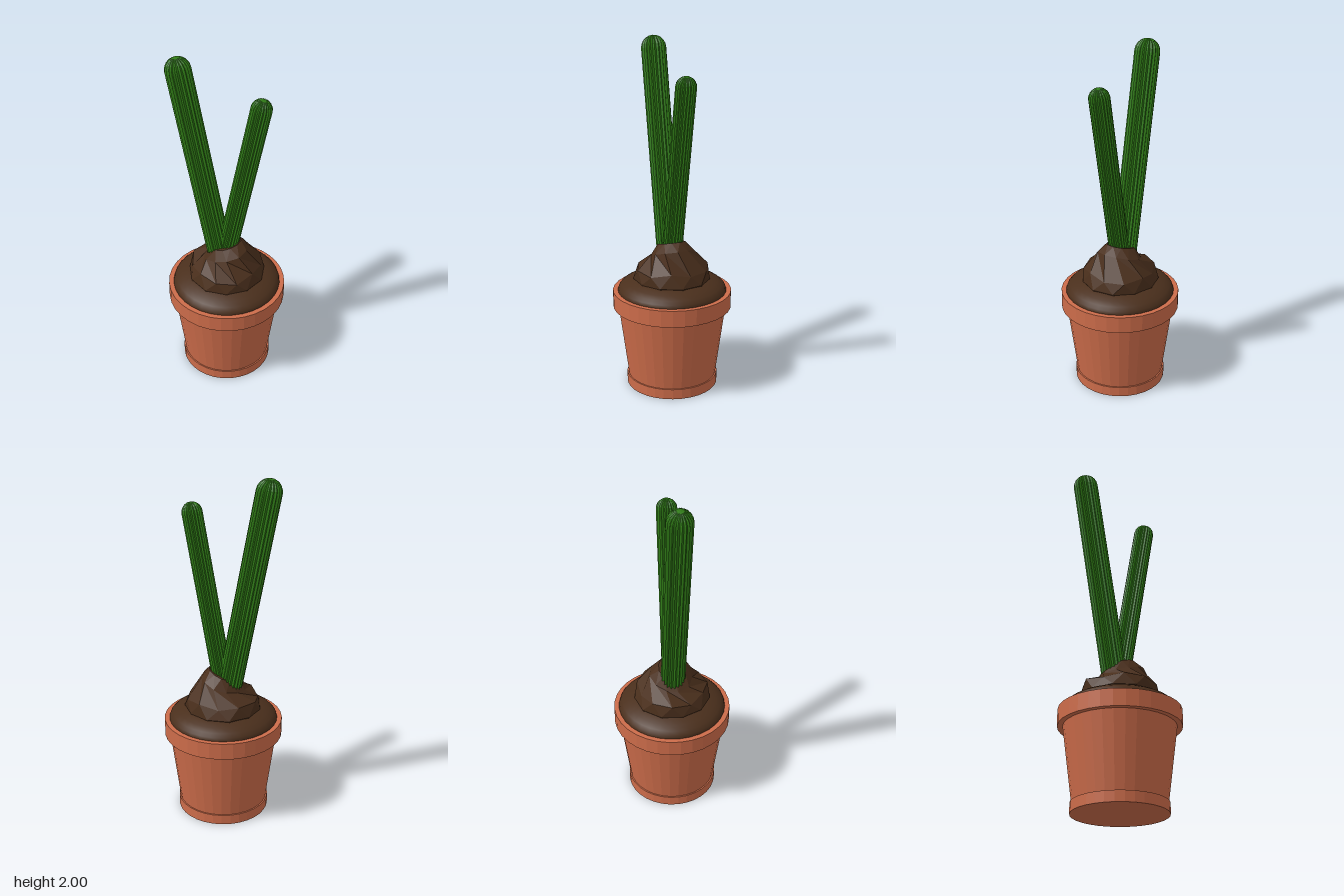
import * as THREE from 'three';

const terracotta = new THREE.MeshStandardMaterial({ color: 0xcc6c4a, flatShading: true });
const soil = new THREE.MeshStandardMaterial({ color: 0x4a2f1c });
const soilFlat = new THREE.MeshStandardMaterial({ color: 0x4a2f1c, flatShading: true });
const green = new THREE.MeshStandardMaterial({ color: 0x2f7a16, flatShading: true, side: THREE.DoubleSide });

function lathe(points, sides) {
  return new THREE.LatheGeometry(points.map(([r, y]) => new THREE.Vector2(r, y)), sides);
}

function part(name, geometry, material) {
  const mesh = new THREE.Mesh(geometry, material);
  mesh.name = name;
  return mesh;
}

// Ribbed stem with a domed tip, running from base to tip in the x-y plane
function stem(name, radius, base, tip) {
  const ribs = 20;
  const axis = new THREE.Vector3(tip[0] - base[0], tip[1] - base[1], 0);
  const length = axis.length();
  const profile = [[0, 0], [radius, 0], [radius, length - radius]];
  for (let i = 1; i <= 5; i++) {
    const a = (i / 5) * Math.PI / 2;
    profile.push([radius * Math.max(0, Math.cos(a)), length - radius + radius * Math.sin(a)]);
  }
  const geo = lathe(profile, ribs * 2);
  const pos = geo.attributes.position;
  // Pull in every second column to form the grooves
  for (let i = 0; i < pos.count; i++) {
    const k = Math.floor(i / profile.length) % 2 ? 0.87 : 1;
    pos.setX(i, pos.getX(i) * k);
    pos.setZ(i, pos.getZ(i) * k);
  }
  geo.computeVertexNormals();
  const mesh = part(name, geo, green);
  mesh.position.set(base[0], base[1], 0);
  mesh.quaternion.setFromUnitVectors(new THREE.Vector3(0, 1, 0), axis.normalize());
  return mesh;
}

// Faceted heap of earth: rings twisted against each other, crown tilted up to +x
function moundGeometry() {
  const profile = [[0.21, 0.58], [0.222, 0.65], [0.205, 0.715], [0.125, 0.8], [0.08, 0.856], [0, 0.845]];
  const sides = 11;
  const geo = lathe(profile, sides);
  const pos = geo.attributes.position;
  for (let i = 0; i < pos.count; i++) {
    const ring = i % profile.length;
    const r = profile[ring][0];
    const a = Math.atan2(pos.getZ(i), pos.getX(i)) + (ring % 2) * Math.PI / sides;
    const bump = 1 + (ring > 1 ? 0.05 : 0.012) * Math.sin(3 * a + ring * 2);
    const x = r * bump * Math.cos(a);
    const lift = ring > 2 ? 0.3 * x : ring === 2 ? 0.012 * Math.sin(4 * a) : 0;
    pos.setXYZ(i, x, profile[ring][1] + lift, r * bump * Math.sin(a));
  }
  geo.computeVertexNormals();
  return geo;
}

export function createModel() {
  const group = new THREE.Group();
  group.name = 'pottedCactus';

  // Pot with foot, tapered wall and overhanging rim
  group.add(part('pot', lathe([
    [0, 0], [0.265, 0], [0.265, 0.06], [0.257, 0.06], [0.312, 0.478],
    [0.342, 0.478], [0.342, 0.575], [0.313, 0.575], [0.305, 0.52],
  ], 32), terracotta));

  // Domed soil surface
  const dome = new THREE.SphereGeometry(1, 32, 16);
  const bed = part('soilBed', dome, soil);
  bed.scale.set(0.314, 0.098, 0.314);
  bed.position.y = 0.575;
  group.add(bed);

  group.add(part('soilMound', moundGeometry(), soilFlat));

  // Two leaning stems
  group.add(stem('tallStem', 0.071, [-0.04, 0.77], [-0.274, 2.0]));
  group.add(stem('shortStem', 0.058, [0.0, 0.79], [0.197, 1.83]));
  return group;
}
